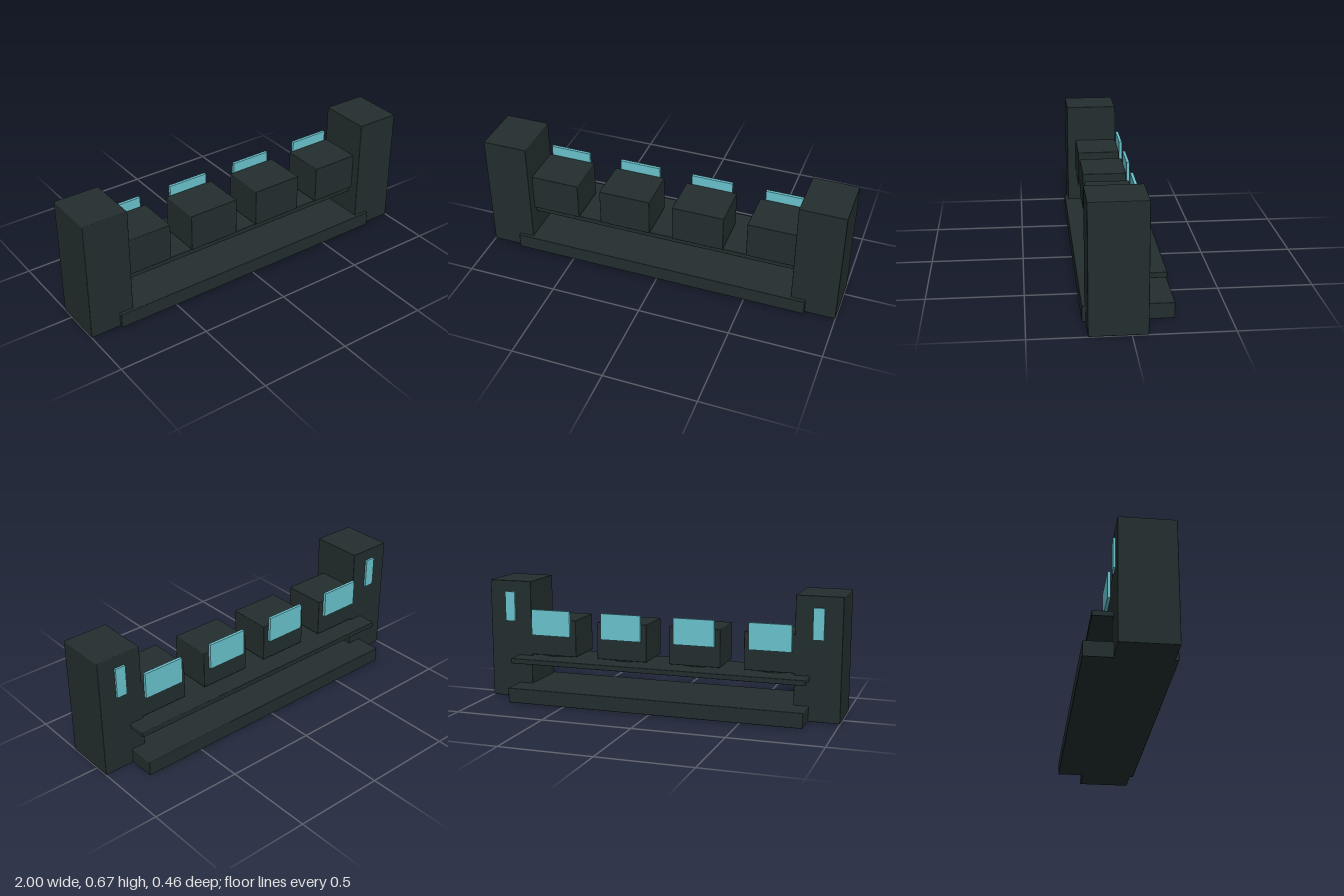
import * as THREE from 'three';
import { RoundedBoxGeometry } from 'three/addons/geometries/RoundedBoxGeometry.js';

export function createModel() {
  const model = new THREE.Group();
  model.name = 'controlDesk';
  const casing = new THREE.MeshStandardMaterial({ color: 0x232e2e });
  casing.name = 'dark casing';
  const glass = new THREE.MeshStandardMaterial({ color: 0x6ac4ce });
  glass.name = 'cyan screen';

  // Box given by its limits on each axis, with slightly softened edges
  function block(name, material, [x0, x1], [y0, y1], [z0, z1], radius = 0.004) {
    const size = [x1 - x0, y1 - y0, z1 - z0];
    const geometry = radius
      ? new RoundedBoxGeometry(...size, 2, radius)
      : new THREE.BoxGeometry(...size);
    const mesh = new THREE.Mesh(geometry, material);
    mesh.name = name;
    mesh.position.set((x0 + x1) / 2, (y0 + y1) / 2, (z0 + z1) / 2);
    model.add(mesh);
  }

  // Plinth and desk shelf run between the pillars and into them
  block('base', casing, [-0.833, 0.833], [0, 0.083], [-0.228, 0.228]);
  block('shelf', casing, [-0.833, 0.833], [0.215, 0.244], [-0.186, 0.142]);

  // End pillars, each with a narrow panel on the back
  for (const [side, s] of [['right', -1], ['left', 1]]) {
    const span = (a, b) => [Math.min(s * a, s * b), Math.max(s * a, s * b)];
    block(side + 'Pillar', casing, span(0.752, 1), [0, 0.667], [-0.081, 0.209]);
    block(side + 'PillarPanel', glass, span(0.847, 0.905), [0.438, 0.605], [-0.092, -0.08], 0);
  }

  // Four monitors on round swivel stands, screens facing the back
  for (let i = 0; i < 4; i++) {
    const x = (i - 1.5) * 0.417;
    block('monitor' + (i + 1), casing, [x - 0.144, x + 0.144], [0.252, 0.46], [-0.081, 0.16]);
    block('screen' + (i + 1), glass, [x - 0.115, x + 0.115], [0.367, 0.512], [-0.101, -0.085], 0);
    const stand = new THREE.Mesh(new THREE.CylinderGeometry(0.105, 0.105, 0.02, 32), casing);
    stand.name = 'stand' + (i + 1);
    stand.position.set(x, 0.25, 0.04);
    model.add(stand);
  }
  return model;
}
